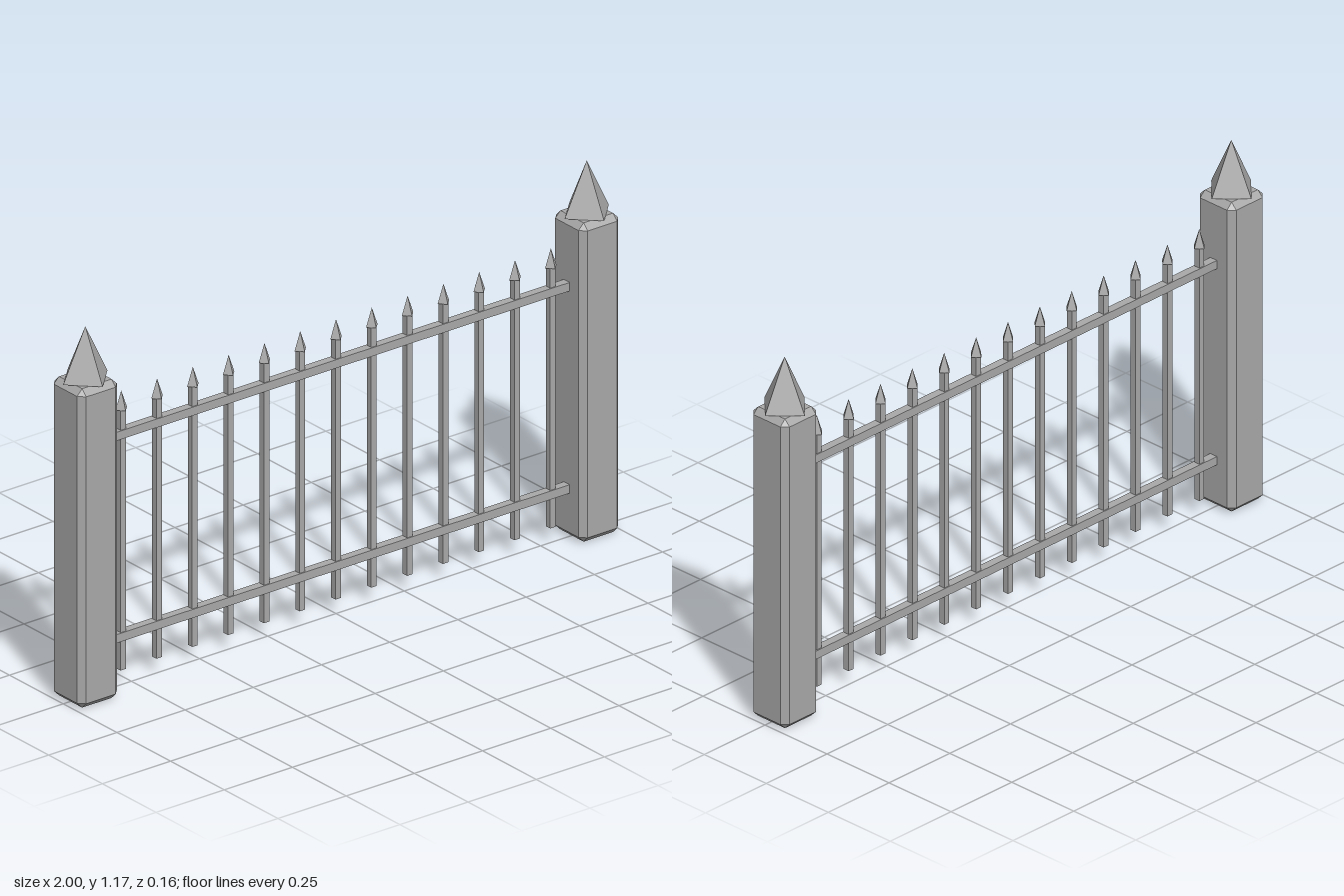
import * as THREE from 'three';
import { ConvexGeometry } from 'three/addons/geometries/ConvexGeometry.js';

// Box with every edge cut flat at 45 degrees
function chamferedBox(w, h, d, c) {
  const [x, y, z] = [w / 2, h / 2, d / 2];
  const points = [];
  for (const sx of [-1, 1]) for (const sy of [-1, 1]) for (const sz of [-1, 1]) {
    points.push(
      new THREE.Vector3(sx * x, sy * (y - c), sz * (z - c)),
      new THREE.Vector3(sx * (x - c), sy * y, sz * (z - c)),
      new THREE.Vector3(sx * (x - c), sy * (y - c), sz * z),
    );
  }
  return new ConvexGeometry(points);
}

export function createModel() {
  const fence = new THREE.Group();
  fence.name = 'fence';
  const iron = new THREE.MeshStandardMaterial({ color: 0xa8a8a8, flatShading: true });
  iron.name = 'grey iron';

  const add = (parent, name, geometry, x, y) => {
    const mesh = new THREE.Mesh(geometry, iron);
    mesh.name = name;
    mesh.position.set(x, y, 0);
    parent.add(mesh);
  };

  // End posts with pyramid caps, corners facing the axes
  const postGeometry = chamferedBox(0.146, 1.012, 0.146, 0.019);
  const capGeometry = new THREE.ConeGeometry(0.081, 0.163, 4);
  for (const side of [-1, 1]) {
    const post = new THREE.Group();
    post.name = side > 0 ? 'leftPost' : 'rightPost';
    post.position.x = side * 0.919;
    add(post, 'postShaft', postGeometry, 0, 0.506);
    add(post, 'postCap', capGeometry, 0, 1.0935);
    fence.add(post);
  }

  // Horizontal rails
  const railGeometry = new THREE.BoxGeometry(1.7, 0.027, 0.027);
  add(fence, 'lowerRail', railGeometry, 0, 0.158);
  add(fence, 'upperRail', railGeometry, 0, 0.8);

  // Pickets with spear tips
  const barGeometry = new THREE.BoxGeometry(0.02, 0.826, 0.02);
  const tipGeometry = new THREE.ConeGeometry(0.021, 0.058, 4);
  const count = 13;
  for (let i = 0; i < count; i++) {
    const picket = new THREE.Group();
    picket.name = 'picket' + (i + 1);
    picket.position.x = (i - (count - 1) / 2) * 0.1312;
    add(picket, 'picketBar', barGeometry, 0, 0.464);
    add(picket, 'picketTip', tipGeometry, 0, 0.905);
    fence.add(picket);
  }
  return fence;
}
